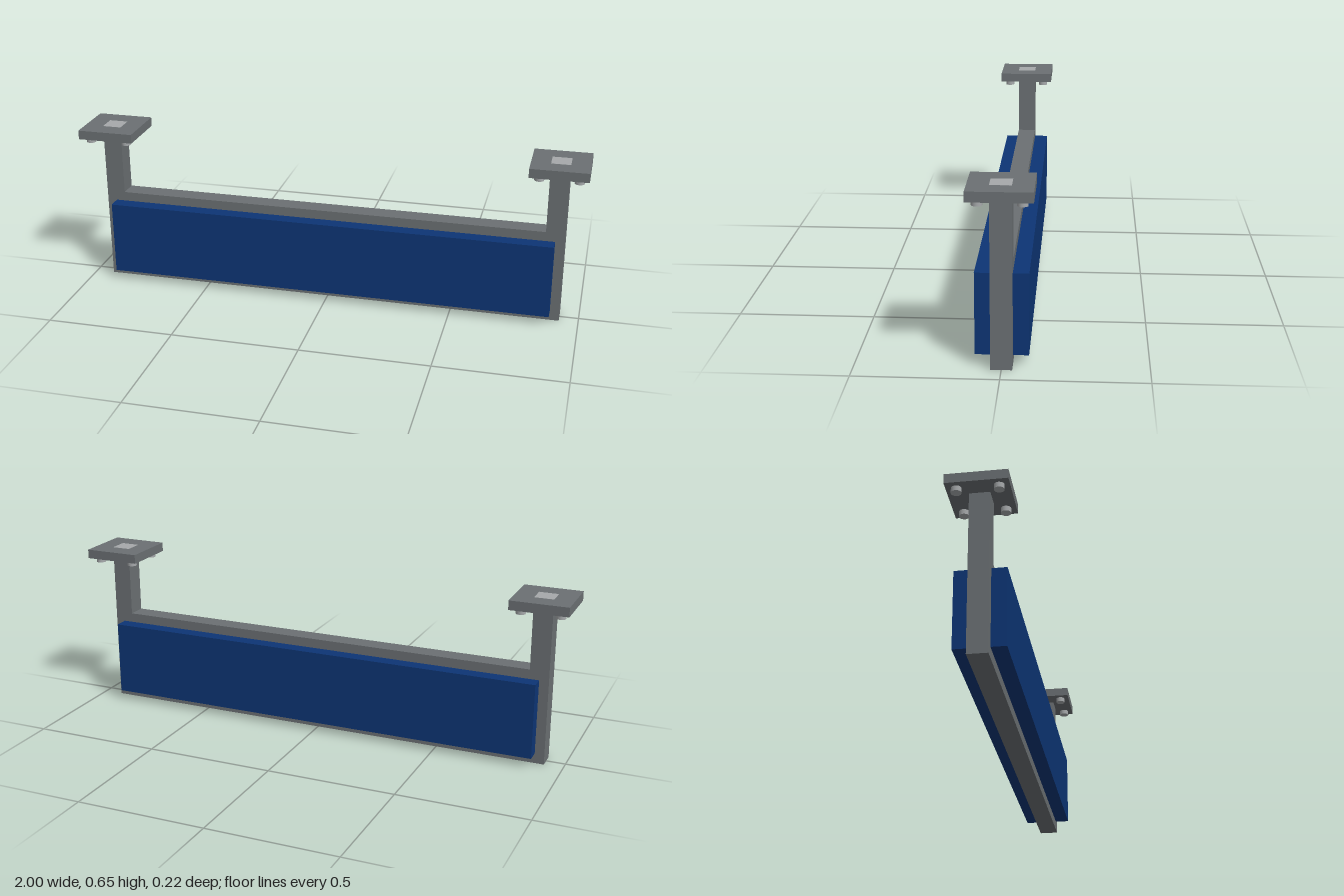
import * as THREE from 'three';

export function createModel() {
  const model = new THREE.Group();
  model.name = 'hangingSign';

  const material = (name, color) => {
    const m = new THREE.MeshStandardMaterial({ color });
    m.name = name;
    return m;
  };
  const steel = material('darkSteel', 0x6b7073);
  const bright = material('brightMetal', 0xa6a9ab);
  const blue = material('signBlue', 0x0d3575);

  const add = (name, geometry, mat, x, y, z) => {
    const mesh = new THREE.Mesh(geometry, mat);
    mesh.name = name;
    mesh.position.set(x, y, z);
    model.add(mesh);
  };
  const box = (name, mat, w, h, d, x, y, z) =>
    add(name, new THREE.BoxGeometry(w, h, d), mat, x, y, z);

  const tube = 0.074; // square tube width
  const postX = 0.889;
  const plateTop = 0.648, plateH = 0.036;
  const plateBottom = plateTop - plateH;

  // Horizontal rails between the posts
  const railLength = 2 * postX - tube;
  box('bottomRail', steel, railLength, tube, tube, 0, tube / 2, 0);
  box('topRail', steel, railLength, tube, tube, 0, 0.37 - tube / 2, 0);

  // Posts with ceiling plates and four bolts each
  for (const side of [-1, 1]) {
    const x = side * postX;
    const label = side > 0 ? 'left' : 'right';
    box(label + 'Post', steel, tube, plateBottom, tube, x, plateBottom / 2, 0);
    box(label + 'MountingPlate', steel, 0.222, plateH, 0.222, x, plateTop - plateH / 2, 0);
    // Bright end of the tube, flush with the plate top
    box(label + 'PostCap', bright, tube, 0.002, tube, x, plateTop - 0.0005, 0);
    for (const dx of [-0.074, 0.074])
      for (const dz of [-0.074, 0.074])
        add(label + 'Bolt', new THREE.CylinderGeometry(0.0185, 0.0185, 0.019, 24), bright,
          x + dx, plateBottom - 0.0095, dz);
  }

  // Sign panels on both faces of the frame
  const panelD = 0.055;
  for (const side of [-1, 1])
    box(side > 0 ? 'frontPanel' : 'backPanel', blue, 1.778, 0.294, panelD,
      0, 0.186, side * (tube + panelD) / 2);

  return model;
}
